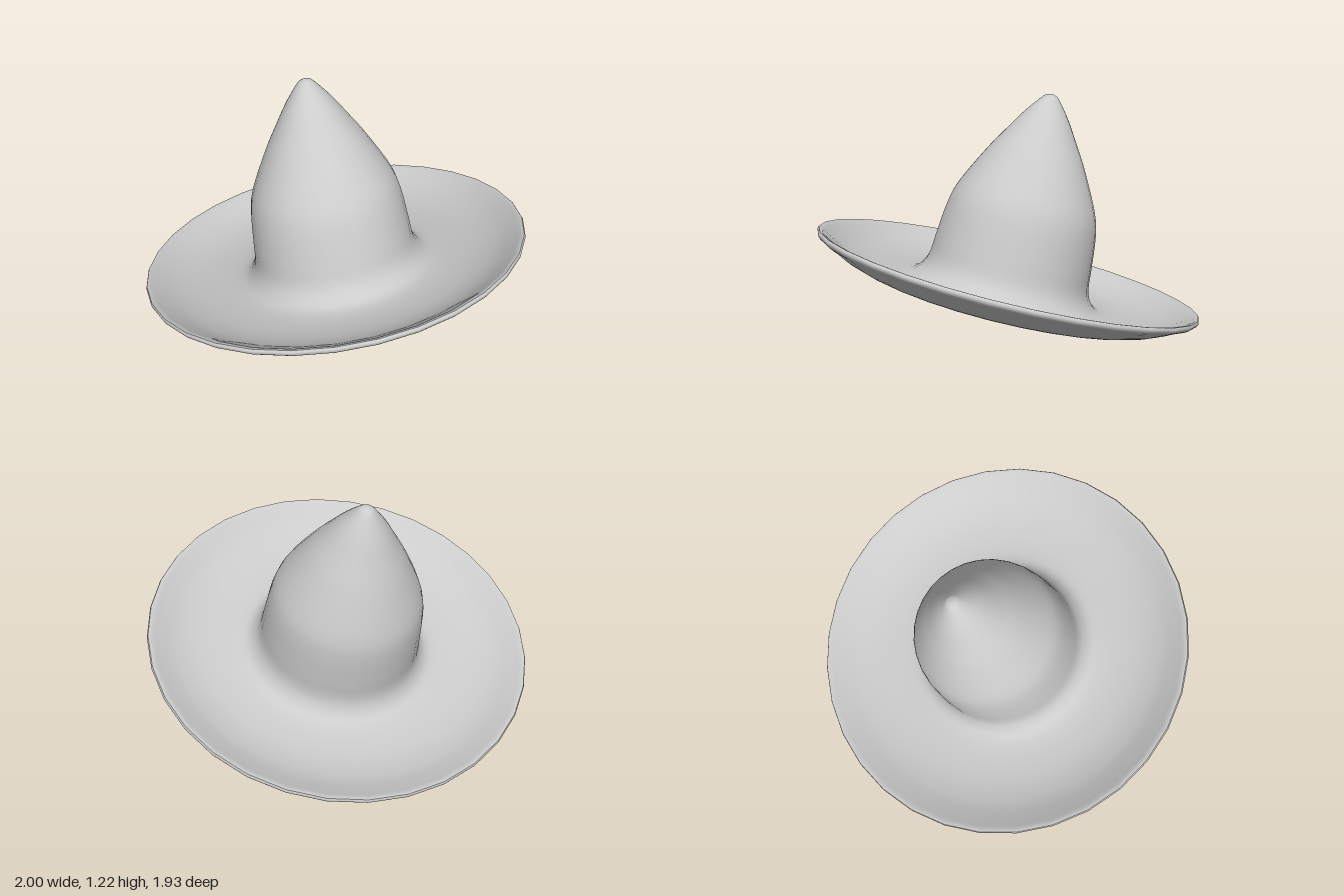
import * as THREE from 'three';

const SEGMENTS = 32;
const TILT = -15.4 * Math.PI / 180;

// Smooth profile of [radius, height] points revolved around the hat's axis
function revolve(name, points, samples, material) {
  const curve = new THREE.SplineCurve(points.map(([r, h]) => new THREE.Vector2(r, h)));
  const profile = curve.getPoints(samples);
  profile.forEach((p) => { p.x = Math.max(p.x, 0); });
  const mesh = new THREE.Mesh(new THREE.LatheGeometry(profile, SEGMENTS), material);
  mesh.name = name;
  return mesh;
}

export function createModel() {
  const felt = new THREE.MeshStandardMaterial({ color: 0xcccccc, side: THREE.DoubleSide });
  const hat = new THREE.Group();
  hat.name = 'hat';

  // Underside: flat ring around the head opening, curling up to the rim
  hat.add(revolve('brimUnderside', [
    [0.42, -0.16], [0.54, -0.159], [0.65, -0.155], [0.76, -0.136],
    [0.86, -0.1], [0.93, -0.062], [0.985, -0.035], [1.0, -0.015], [0.995, 0],
  ], 32, felt));

  // Dished top of the brim, flowing through a fillet into the pointed crown
  hat.add(revolve('brimTopAndCrown', [
    [0.995, 0], [0.975, -0.005], [0.93, -0.032], [0.85, -0.075], [0.75, -0.107],
    [0.64, -0.122], [0.54, -0.122], [0.48, -0.105], [0.44, -0.06], [0.42, 0.0],
    [0.411, 0.1], [0.392, 0.265], [0.357, 0.385], [0.257, 0.58], [0.19, 0.69],
    [0.118, 0.803], [0.045, 0.897], [0.02, 0.915], [0, 0.92],
  ], 64, felt));

  // Hollow inside of the crown
  hat.add(revolve('crownLining', [
    [0, 0.88], [0.03, 0.86], [0.1, 0.78], [0.17, 0.67], [0.235, 0.57],
    [0.33, 0.38], [0.365, 0.26], [0.385, 0.1], [0.395, 0], [0.405, -0.09], [0.42, -0.16],
  ], 32, felt));

  // Whole hat leans back, front of the brim raised
  hat.rotation.x = TILT;
  hat.position.y = 0.335;

  const model = new THREE.Group();
  model.name = 'tiltedHat';
  model.add(hat);
  return model;
}
